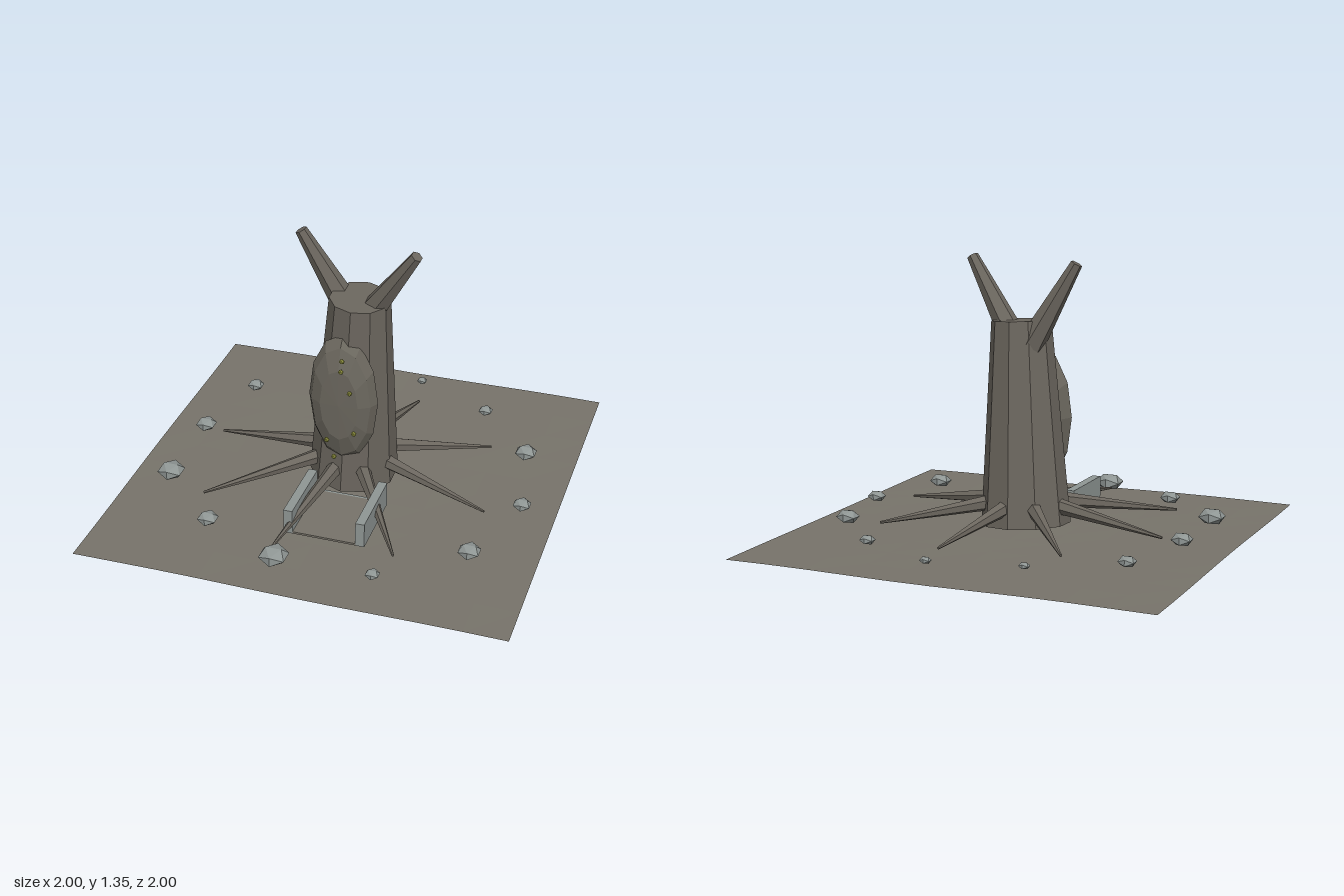
import * as THREE from 'three';

const mat = (name, color, extra = {}) =>
  Object.assign(new THREE.MeshStandardMaterial({ color, flatShading: true, ...extra }), { name });

export function createModel() {
  const soil = mat('soil', 0x77736a, { side: THREE.DoubleSide });
  const bark = mat('bark', 0x6b665e);
  const wood = mat('door wood', 0x6a665d);
  const stone = mat('stone', 0x8f9694);
  const glow = mat('lichen beads', 0x9a9c45);

  const model = new THREE.Group();
  const add = (name, geometry, material, parent = model) => {
    const mesh = new THREE.Mesh(geometry, material);
    mesh.name = name;
    parent.add(mesh);
    return mesh;
  };
  const group = (name) => {
    const g = new THREE.Group();
    g.name = name;
    model.add(g);
    return g;
  };
  // Box given by its lower and upper corners
  const box = (name, a, b, material, parent) => {
    const size = b.map((v, i) => v - a[i]);
    const mesh = add(name, new THREE.BoxGeometry(...size), material, parent);
    mesh.position.set(...a.map((v, i) => v + size[i] / 2));
  };
  // Tapered limb from point a to point b
  const limb = (name, a, b, ra, rb, sides, parent) => {
    const from = new THREE.Vector3(...a), to = new THREE.Vector3(...b);
    const dir = to.clone().sub(from);
    const mesh = add(name, new THREE.CylinderGeometry(rb, ra, dir.length(), sides), bark, parent);
    mesh.position.copy(from).add(to).multiplyScalar(0.5);
    mesh.quaternion.setFromUnitVectors(new THREE.Vector3(0, 1, 0), dir.normalize());
  };

  // Slightly uneven ground sheet
  const ground = new THREE.PlaneGeometry(2, 2, 10, 10).rotateX(-Math.PI / 2);
  const p = ground.attributes.position;
  for (let i = 0; i < p.count; i++) {
    p.setY(i, 0.07 + 0.004 * Math.sin(p.getX(i) * 5 + 1) * Math.cos(p.getZ(i) * 4));
  }
  add('ground', ground, soil);

  // Leaning trunk and its two broken branches
  limb('trunk', [0, 0.11, 0], [0.045, 1.055, 0.05], 0.21, 0.14, 10);
  limb('leftBranch', [0.07, 0.95, 0.04], [0.325, 1.335, 0.12], 0.065, 0.028, 6);
  limb('rightBranch', [-0.03, 0.95, -0.015], [-0.245, 1.33, 0.01], 0.065, 0.028, 6);

  // Roots spreading from the trunk
  const roots = group('roots');
  const tips = [[0.69, 0.2], [0.39, 0.65], [-0.14, 0.75], [-0.59, 0.45],
    [-0.7, -0.08], [-0.4, -0.54], [0.14, -0.64], [0.59, -0.34]];
  for (const [x, z] of tips) {
    const k = 0.12 / Math.hypot(x, z);
    limb('root', [x * k, 0.217, z * k], [x, 0.127, z], 0.04, 0.006, 6, roots);
  }

  // Domed oval door, lofted from shrinking rings; each ring is [scale, z]
  const rings = [[0.8, 0.1], [1, 0.17], [0.86, 0.212], [0.55, 0.243], [0, 0.248]];
  const sides = 12, verts = [], index = [];
  for (const [s, z] of rings) {
    for (let i = 0; i < sides; i++) {
      const a = (i / sides) * Math.PI * 2;
      verts.push(0.005 + 0.165 * s * Math.cos(a), 0.59 + 0.33 * s * Math.sin(a), z);
    }
  }
  for (let r = 0; r < rings.length - 1; r++) {
    for (let i = 0; i < sides; i++) {
      const a = r * sides + i, b = r * sides + ((i + 1) % sides);
      index.push(a, b, b + sides, a, b + sides, a + sides);
    }
  }
  const door = new THREE.BufferGeometry();
  door.setAttribute('position', new THREE.Float32BufferAttribute(verts, 3));
  door.setIndex(index);
  door.computeVertexNormals();
  add('door', door, wood);

  // Small beads floating before the door
  const beads = group('beads');
  const spots = [[0.03, 0.84], [0.025, 0.785], [0.065, 0.68], [0.085, 0.47], [-0.045, 0.415], [-0.01, 0.33]];
  for (const [x, y] of spots) {
    add('bead', new THREE.IcosahedronGeometry(0.013, 0), glow, beads).position.set(x, y, 0.268);
  }

  // Entrance: steps, landing plate and side walls
  const entrance = group('entrance');
  box('lowStep', [-0.1, 0, 0.46], [0.2, 0.05, 0.575], stone, entrance);
  box('middleStep', [-0.1, 0.04, 0.345], [0.2, 0.08, 0.46], stone, entrance);
  box('highStep', [-0.1, 0.072, 0.23], [0.2, 0.108, 0.345], stone, entrance);
  box('landing', [-0.1, 0.1, 0.245], [0.2, 0.11, 0.595], soil, entrance);
  box('rightWall', [-0.142, 0.1, 0.245], [-0.1, 0.22, 0.595], stone, entrance);
  box('leftWall', [0.198, 0.1, 0.245], [0.24, 0.22, 0.595], stone, entrance);

  // Circle of flattened stones: x, z, radius
  const rocks = group('rocks');
  const places = [
    [-0.32, -0.75, 0.026], [0.1, -0.84, 0.027], [0.485, -0.65, 0.037], [-0.7, -0.53, 0.043],
    [0.765, -0.33, 0.055], [-0.8, -0.1, 0.052], [0.845, 0.1, 0.045], [-0.8, 0.34, 0.066],
    [0.705, 0.525, 0.055], [-0.49, 0.645, 0.05], [0.345, 0.81, 0.035], [-0.105, 0.825, 0.07],
  ];
  for (const [x, z, r] of places) {
    const rock = add('rock', new THREE.IcosahedronGeometry(r, 0), stone, rocks);
    rock.scale.y = 0.62;
    rock.position.set(x, 0.12 + r * 0.3, z);
  }

  return model;
}
